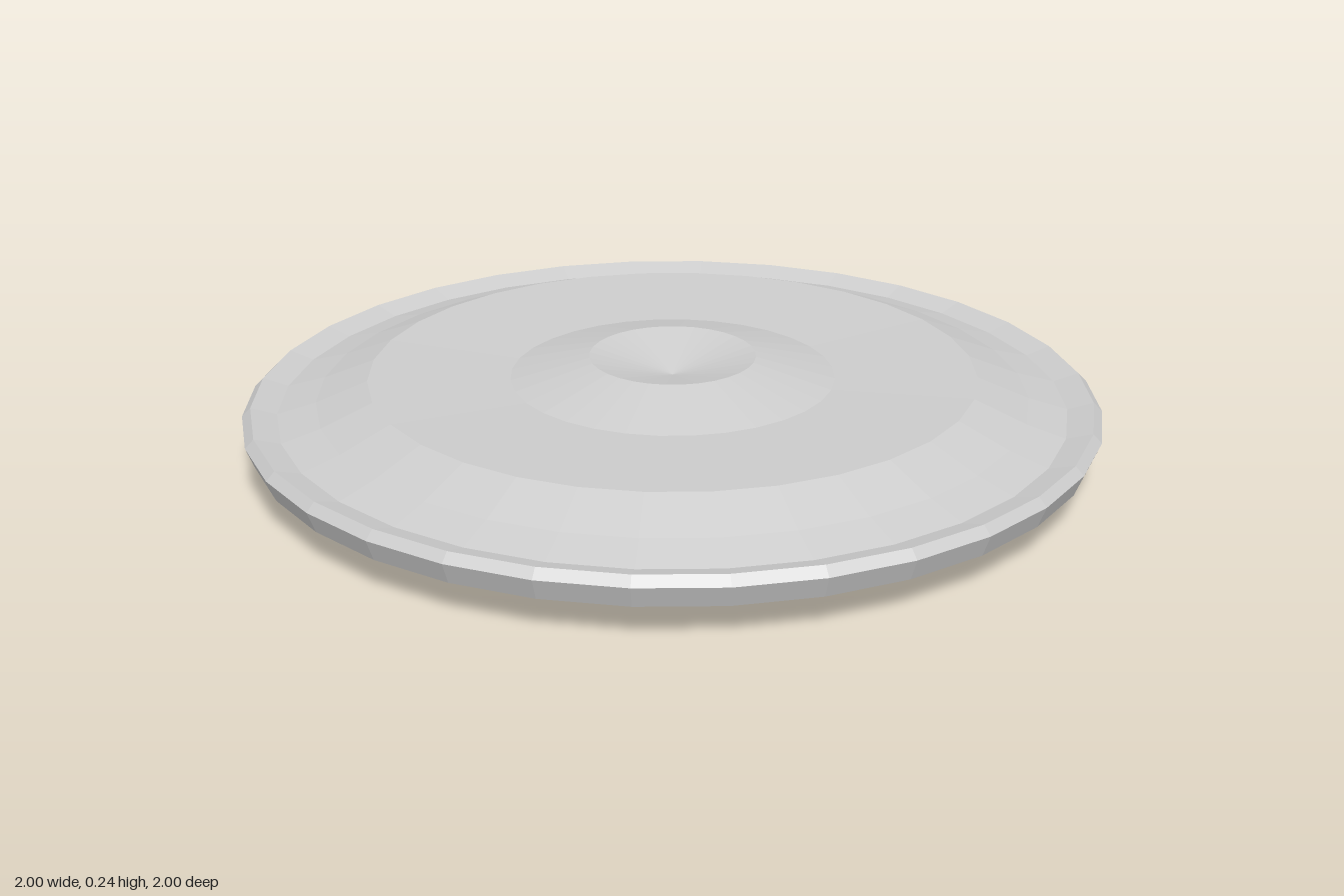
import * as THREE from 'three';

const SIDES = 32;

export function createModel() {
  const group = new THREE.Group();
  group.name = 'roundDish';
  const grey = new THREE.MeshStandardMaterial({ color: 0xcccccc, flatShading: true });
  grey.name = 'light grey';

  // each part is a ring turned from [radius, height] points, outside running upwards
  const turned = (name, points) => {
    const profile = points.map(([r, y]) => new THREE.Vector2(r, y));
    const mesh = new THREE.Mesh(new THREE.LatheGeometry(profile, SIDES), grey);
    mesh.name = name;
    group.add(mesh);
  };

  // shallow domed underside
  turned('underside', [[0, 0], [0.2, 0.003], [0.4, 0.011], [0.6, 0.024], [0.78, 0.04], [0.92, 0.06], [0.98, 0.08]]);
  // bevelled outer rim with its inner lip
  turned('rim', [[0.98, 0.08], [1, 0.13], [0.98, 0.15], [0.92, 0.132]]);
  // raised plate, sloping down into the gutter behind the rim
  turned('plate', [[0.92, 0.132], [0.83, 0.157], [0.71, 0.205], [0.38, 0.192]]);
  // central boss with a conical dimple
  turned('boss', [[0.38, 0.192], [0.195, 0.24], [0, 0.19]]);

  return group;
}
